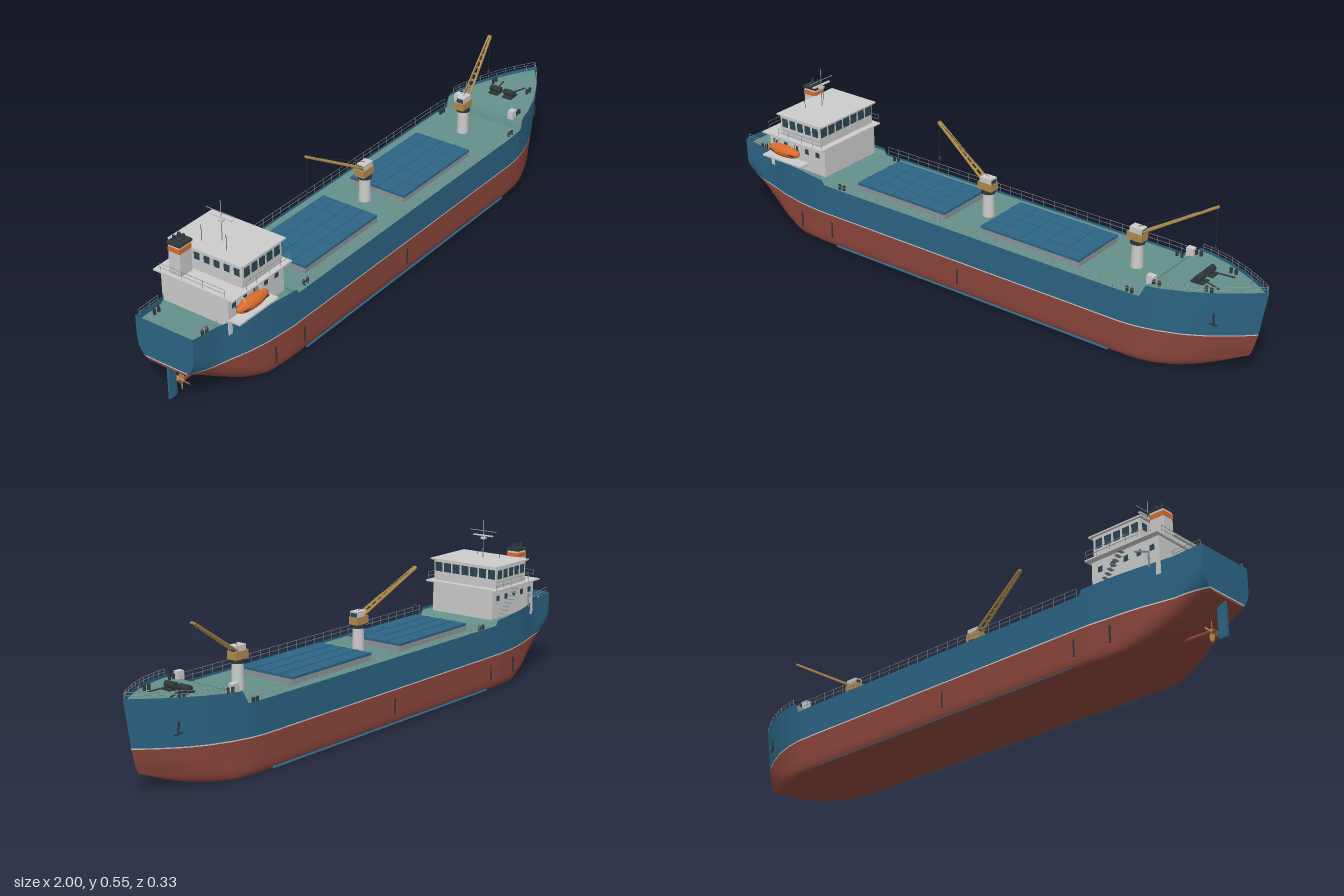
import * as THREE from 'three';
import { mergeGeometries } from 'three/addons/utils/BufferGeometryUtils.js';

const mat = (color) => new THREE.MeshStandardMaterial({ color, side: THREE.DoubleSide });
const BLUE = mat(0x2c6484), RED = mat(0x8c463c), WHITE = mat(0xd6d6d4), DECK = mat(0x65908a), ORANGE = mat(0xd96c2c),
  TAN = mat(0xb0894c), DARK = mat(0x30363a), GLASS = mat(0x2a4654), GREY = mat(0x8d9496);

// Linear lookup in a list of [position, value] pairs
function look(table, s) {
  if (s <= table[0][0]) return table[0][1];
  for (let i = 1; i < table.length; i++) {
    const [a, va] = table[i - 1], [b, vb] = table[i];
    if (s <= b) return va + (vb - va) * (s - a) / (b - a);
  }
  return table[table.length - 1][1];
}

// Hull lines, by station along the length
const PLAN = [[-1, 0.107], [-0.9, 0.113], [-0.85, 0.125], [-0.8, 0.138], [-0.73, 0.15], [-0.62, 0.16], [0.58, 0.16],
  [0.65, 0.156], [0.72, 0.143], [0.8, 0.118], [0.88, 0.08], [0.95, 0.038], [1, 0]];
const KEEL = [[-1, 0.125], [-0.95, 0.1], [-0.9, 0.07], [-0.85, 0.044], [-0.8, 0.022], [-0.75, 0.007], [-0.7, 0],
  [0.77, 0], [0.85, 0.01], [0.92, 0.028], [1, 0.055]];
const WATER = [[-1, 0.132], [-0.9, 0.122], [-0.7, 0.115], [0.6, 0.115], [0.85, 0.122], [1, 0.131]];
const TOP = [[-1, 0.262], [-0.8, 0.247], [-0.6, 0.238], [-0.59, 0.221], [0.655, 0.224], [0.675, 0.263], [1, 0.284]];
const FLOOR = [[-1, 0.24], [-0.6, 0.23], [-0.59, 0.215], [0.66, 0.217], [0.668, 0.255], [1, 0.272]];
const STEM = [[0.055, 0.95], [0.08, 0.96], [0.131, 0.974], [0.284, 1]];
const FLAT = [[-1, 0.5], [-0.72, 0.9], [0.7, 0.9], [1, 0.5]];
const BILGE = [[-1, 0.07], [-0.7, 0.035], [0.7, 0.035], [1, 0.08]];

function hullPoint(s, y, side, inset = 0) {
  const f0 = look(FLAT, s), h = y - look(KEEL, s), k = Math.min(1, Math.max(0, h / look(BILGE, s)));
  const f = f0 + (0.975 - f0) * Math.sqrt(1 - (1 - k) ** 2) + 0.025 * Math.min(1, Math.max(0, y / 0.25));
  const x = s < 0.6 ? s : 0.6 + (s - 0.6) / 0.4 * (look(STEM, y) - 0.6);
  return [x, y, side * Math.max(0, look(PLAN, s) * Math.min(1, f) - inset)];
}

// Surface through rows of points
function grid(name, rows, material, parent) {
  const n = rows[0].length, index = [];
  for (let i = 0; i < rows.length - 1; i++) for (let j = 0; j < n - 1; j++) {
    const a = i * n + j, b = a + n;
    index.push(a, b, a + 1, b, b + 1, a + 1);
  }
  const g = new THREE.BufferGeometry();
  g.setAttribute('position', new THREE.Float32BufferAttribute(rows.flat(2), 3));
  g.setIndex(index);
  g.computeVertexNormals();
  return add(name, g, material, parent);
}
function add(name, geo, material, parent, x = 0, y = 0, z = 0) {
  const m = new THREE.Mesh(geo, material);
  m.name = name;
  m.position.set(x, y, z);
  parent.add(m);
  return m;
}
// Box given by its lowest and highest corners
const box = (name, a, b, material, parent) => add(name, new THREE.BoxGeometry(b[0] - a[0], b[1] - a[1], b[2] - a[2]),
  material, parent, (a[0] + b[0]) / 2, (a[1] + b[1]) / 2, (a[2] + b[2]) / 2);
const cyl = (name, r1, r2, h, material, parent, x, y, z, sides = 20) =>
  add(name, new THREE.CylinderGeometry(r1, r2, h, sides), material, parent, x, y, z);
// Many straight rods merged into one mesh
function rods(name, list, r, material, parent) {
  const geos = list.map(([a, b]) => {
    const p = new THREE.Vector3(...a), d = new THREE.Vector3(...b).sub(p);
    const g = new THREE.CylinderGeometry(r, r, d.length(), 6);
    g.applyQuaternion(new THREE.Quaternion().setFromUnitVectors(new THREE.Vector3(0, 1, 0), d.clone().normalize()));
    return g.translate(...p.addScaledVector(d, 0.5).toArray());
  });
  return add(name, mergeGeometries(geos), material, parent);
}
// Posts with two rails along a path of foot points
function railing(name, feet, h, parent) {
  const up = (p, d) => [p[0], p[1] + d, p[2]], list = feet.map((p) => [p, up(p, h)]);
  for (let i = 1; i < feet.length; i++) for (const k of [h, h / 2]) list.push([up(feet[i - 1], k), up(feet[i], k)]);
  rods(name, list, 0.0008, GREY, parent);
}

function buildHull(ship) {
  const S = [];
  for (let i = 0; i <= 100; i++) S.push(-1 + i / 50);
  S.push(-0.59, 0.655, 0.66, 0.668, 0.675, 0.99);
  S.sort((a, b) => a - b);
  const span = (s, lo, hi, n, side) => Array.from({ length: n + 1 }, (_, i) => hullPoint(s, lo + (hi - lo) * (i / n) ** 1.6, side));
  const red = (s) => {
    const half = (side) => span(s, look(KEEL, s), look(WATER, s), 12, side);
    return [...half(-1).reverse(), [half(1)[0][0], look(KEEL, s), 0], ...half(1)];
  };
  const stripe = (s, d) => span(s, look(WATER, s), look(WATER, s) + 0.004, 1, d);
  const blue = (s, d) => span(s, look(WATER, s) + 0.004, look(TOP, s), 8, d);
  grid('lowerHull', S.map(red), RED, ship);
  for (const d of [-1, 1]) {
    grid('waterlineStripe', S.map((s) => stripe(s, d)), WHITE, ship);
    grid('upperHull', S.map((s) => blue(s, d)), BLUE, ship);
  }
  // Flat transom
  for (const [f, m] of [[stripe, WHITE], [blue, BLUE], [(s, d) => span(s, look(KEEL, s), look(WATER, s), 6, d), RED]])
    grid('transom', [f(-1, -1), f(-1, 1)], m, ship);
  grid('deck', S.map((s) => [-1, 1].map((d) => hullPoint(s, look(FLOOR, s), d, 0.002))), DECK, ship);
  // Bilge keels, draught marks, anchors
  for (const d of [-1, 1]) {
    const fin = add('bilgeKeel', new THREE.BoxGeometry(1.1, 0.012, 0.002), BLUE, ship, 0, 0.006, d * 0.151);
    fin.rotation.x = -d * 0.8;
    for (const x of [-0.7, -0.565, -0.03]) box('hullMark', [x - 0.002, 0.035, d * 0.158 - 0.002], [x + 0.002, 0.09, d * 0.158 + 0.002], DARK, ship);
    const p = hullPoint(0.88, 0.18, d);
    rods('anchor', [[[p[0], 0.205, p[2] + d * 0.004], [p[0], 0.165, p[2] + d * 0.002]],
      [[p[0] - 0.012, 0.172, p[2] + d * 0.008], [p[0] + 0.012, 0.166, p[2] - d * 0.003]]], 0.003, DARK, ship);
    // Side and bow railings
    const feet = (a, b, n) => Array.from({ length: n + 1 }, (_, i) => {
      const s = a + (b - a) * i / n;
      return hullPoint(s, look(TOP, s), d, 0.002);
    });
    railing('sideRailing', feet(-0.58, 0.65, 28), 0.028, ship);
    railing('bowRailing', feet(0.69, 0.995, 10), 0.018, ship);
  }
  // Rudder and propeller
  box('rudder', [-0.995, 0.012, -0.004], [-0.965, 0.13, 0.004], BLUE, ship);
  rods('propellerShaft', [[[-0.95, 0.045, 0], [-0.8, 0.045, 0]]], 0.006, RED, ship);
  const prop = new THREE.Group();
  prop.name = 'propeller';
  prop.position.set(-0.94, 0.045, 0);
  ship.add(prop);
  add('propellerHub', new THREE.SphereGeometry(0.008, 12, 8), TAN, prop);
  for (let i = 0; i < 4; i++) {
    const arm = new THREE.Group();
    arm.rotation.x = i * Math.PI / 2;
    prop.add(arm);
    const blade = add('propellerBlade', new THREE.SphereGeometry(0.014, 10, 8), TAN, arm, 0, 0.019, 0);
    blade.scale.set(0.15, 1, 0.6);
    blade.rotation.y = 0.6;
  }
}

function buildHatch(x0, x1, panels, ship) {
  box('hatchCoaming', [x0, 0.21, -0.105], [x1, 0.233, 0.105], GREY, ship);
  const w = (x1 - x0) / panels;
  for (let i = 0; i < panels; i++) box('hatchCover', [x0 + i * w + 0.001, 0.233, -0.106], [x0 + (i + 1) * w - 0.001, 0.241, 0.106], BLUE, ship);
  for (const z of [-0.053, 0, 0.053]) box('hatchRib', [x0, 0.241, z - 0.001], [x1, 0.243, z + 0.001], BLUE, ship);
}

function buildCrane(x, tip, ship) {
  const dir = Math.sign(tip[0] - x), z = -0.008, root = [x + dir * 0.01, 0.335, z];
  cyl('cranePedestal', 0.018, 0.02, 0.09, WHITE, ship, x, 0.26, z);
  cyl('craneCollar', 0.023, 0.023, 0.012, DARK, ship, x, 0.304, z);
  box('craneHousing', [x - 0.03, 0.31, z - 0.018], [x + 0.025, 0.335, z + 0.018], TAN, ship);
  box('craneCab', [x - 0.022, 0.325, z - 0.015], [x + 0.022, 0.353, z + 0.015], WHITE, ship);
  box('craneWindow', [x - 0.023, 0.334, z - 0.012], [x + 0.023, 0.348, z + 0.012], GLASS, ship);
  // Tapering twin-beam boom with cross ties
  const list = [], at = (t, d) => [root[0] + (tip[0] - root[0]) * t, root[1] + (tip[1] - root[1]) * t,
    root[2] + (tip[2] - root[2]) * t + d * (0.011 - 0.007 * t)];
  for (const d of [-1, 1]) list.push([at(0, d), at(1, d)]);
  for (let i = 0; i <= 10; i++) list.push([at(i / 10, -1), at(i / 10, 1)]);
  rods('craneBoom', list, 0.0045, TAN, ship);
  rods('craneCable', [[tip, [tip[0], 0.335, tip[2]]], [[x, 0.353, z], tip]], 0.0009, DARK, ship);
  add('craneHook', new THREE.SphereGeometry(0.005, 10, 8), DARK, ship, tip[0], 0.332, tip[2]).scale.y = 1.8;
}

function buildHouse(ship) {
  box('accommodation', [-0.865, 0.21, -0.125], [-0.615, 0.335, 0.125], WHITE, ship);
  box('bridgeDeck', [-0.875, 0.333, -0.146], [-0.605, 0.338, 0.15], WHITE, ship);
  box('bridge', [-0.805, 0.338, -0.13], [-0.628, 0.412, 0.13], WHITE, ship);
  box('bridgeRoof', [-0.815, 0.411, -0.138], [-0.615, 0.416, 0.138], WHITE, ship);
  box('boatDeck', [-0.865, 0.256, 0.12], [-0.69, 0.262, 0.165], WHITE, ship);
  // Windows
  for (let i = -3; i <= 3; i++) {
    const z = i * 0.037;
    box('frontWindow', [-0.63, 0.37, z - 0.0145], [-0.6265, 0.402, z + 0.0145], GLASS, ship);
    box('rearWindow', [-0.8065, 0.375, z - 0.01], [-0.803, 0.398, z + 0.01], GLASS, ship);
  }
  for (const d of [-1, 1]) {
    for (let i = 0; i < 5; i++) {
      const x = -0.785 + i * 0.034, u = -0.84 + i * 0.048;
      box('sideWindow', [x - 0.012, 0.37, d * 0.13 - 0.0015], [x + 0.012, 0.4, d * 0.13 + 0.0015], GLASS, ship);
      box('cabinWindow', [u - 0.008, 0.293, d * 0.125 - 0.0015], [u + 0.008, 0.311, d * 0.125 + 0.0015], GLASS, ship);
    }
    railing('bridgeRailing', [[-0.805, 0.338, d * 0.144], [-0.76, 0.338, d * 0.144], [-0.7, 0.338, d * 0.144], [-0.65, 0.338, d * 0.144], [-0.61, 0.338, d * 0.144]], 0.027, ship);
    railing('sternRailing', [[-0.99, 0.26, d * 0.1], [-0.94, 0.257, d * 0.105], [-0.9, 0.254, d * 0.11]], 0.02, ship);
  }
  railing('aftRailing', [-0.12, -0.04, 0.04, 0.12].map((z) => [-0.872, 0.338, z]), 0.027, ship);
  // Steps beside the house front
  for (let i = 0; i < 9; i++) box('step', [-0.66 - i * 0.01, 0.235 + i * 0.011, -0.147], [-0.648 - i * 0.01, 0.237 + i * 0.011, -0.125], GREY, ship);
  // Funnel
  box('funnel', [-0.862, 0.338, -0.093], [-0.812, 0.436, -0.05], WHITE, ship);
  box('funnelBand', [-0.863, 0.413, -0.094], [-0.811, 0.429, -0.049], ORANGE, ship);
  box('funnelCap', [-0.865, 0.436, -0.096], [-0.809, 0.444, -0.047], DARK, ship);
  for (const [x, z] of [[-0.85, -0.08], [-0.828, -0.063], [-0.828, -0.08]]) cyl('exhaust', 0.005, 0.005, 0.018, DARK, ship, x, 0.452, z, 12);
  // Masts and radar
  rods('mast', [[[-0.735, 0.415, 0], [-0.735, 0.548, 0]], [[-0.735, 0.51, -0.054], [-0.735, 0.51, 0.054]]], 0.0015, GREY, ship);
  box('radar', [-0.738, 0.492, -0.04], [-0.73, 0.496, 0.04], WHITE, ship);
  box('radarBase', [-0.742, 0.481, -0.008], [-0.728, 0.488, 0.008], WHITE, ship);
  rods('antenna', [0.046, -0.047].map((z) => [[-0.77, 0.415, z], [-0.77, 0.47, z]]), 0.0008, DARK, ship);
  // Lifeboat on davits
  const boat = add('lifeboat', new THREE.SphereGeometry(1, 24, 16), ORANGE, ship, -0.782, 0.29, 0.145);
  boat.scale.set(0.069, 0.021, 0.021);
  box('lifeboatRubbingStrake', [-0.836, 0.287, 0.1245], [-0.728, 0.29, 0.1655], DARK, ship).scale.z = 0.9;
  for (const x of [-0.82, -0.745]) rods('davit', [[[x, 0.26, 0.128], [x, 0.325, 0.128]], [[x, 0.325, 0.128], [x, 0.318, 0.148]], [[x, 0.318, 0.148], [x, 0.308, 0.148]]], 0.002, WHITE, ship);
  rods('smallDavit', [[[-0.83, 0.24, -0.13], [-0.83, 0.29, -0.13]], [[-0.83, 0.29, -0.13], [-0.8, 0.29, -0.158]]], 0.003, GREY, ship);
}

function buildDeckGear(ship) {
  for (const d of [-1, 1]) {
    // Windlass and its chain
    box('windlassBase', [0.762, 0.255, d * 0.028 - 0.018], [0.805, 0.266, d * 0.028 + 0.018], DARK, ship);
    cyl('windlassDrum', 0.011, 0.011, 0.04, DARK, ship, 0.783, 0.275, d * 0.028, 14).rotation.x = Math.PI / 2;
    rods('anchorChain', [[[0.79, 0.272, d * 0.028], [0.86, 0.267, d * 0.045]]], 0.0025, DARK, ship);
    // Paired bollards
    for (const [x, y, z] of [[0.69, 0.262, 0.118], [0.84, 0.27, 0.07], [-0.93, 0.245, 0.09], [0.61, 0.222, 0.14], [-0.53, 0.222, 0.14]])
      for (const k of [-0.009, 0.009]) cyl('bollard', 0.005, 0.005, 0.02, DARK, ship, x + k, y, z * d, 12);
    box('ventilator', [0.655, 0.25, d * 0.11 - 0.01], [0.68, 0.28, d * 0.11 + 0.01], WHITE, ship);
  }
  rods('bowMast', [[[0.94, 0.265, 0], [0.94, 0.31, 0]]], 0.0015, GREY, ship);
}

export function createModel() {
  const ship = new THREE.Group();
  ship.name = 'cargoShip';
  buildHull(ship);
  buildHatch(-0.49, -0.12, 5, ship);
  buildHatch(0.025, 0.405, 5, ship);
  buildCrane(-0.03, [-0.268, 0.462, -0.055], ship);
  buildCrane(0.54, [0.78, 0.47, -0.06], ship);
  buildHouse(ship);
  buildDeckGear(ship);
  return ship;
}
